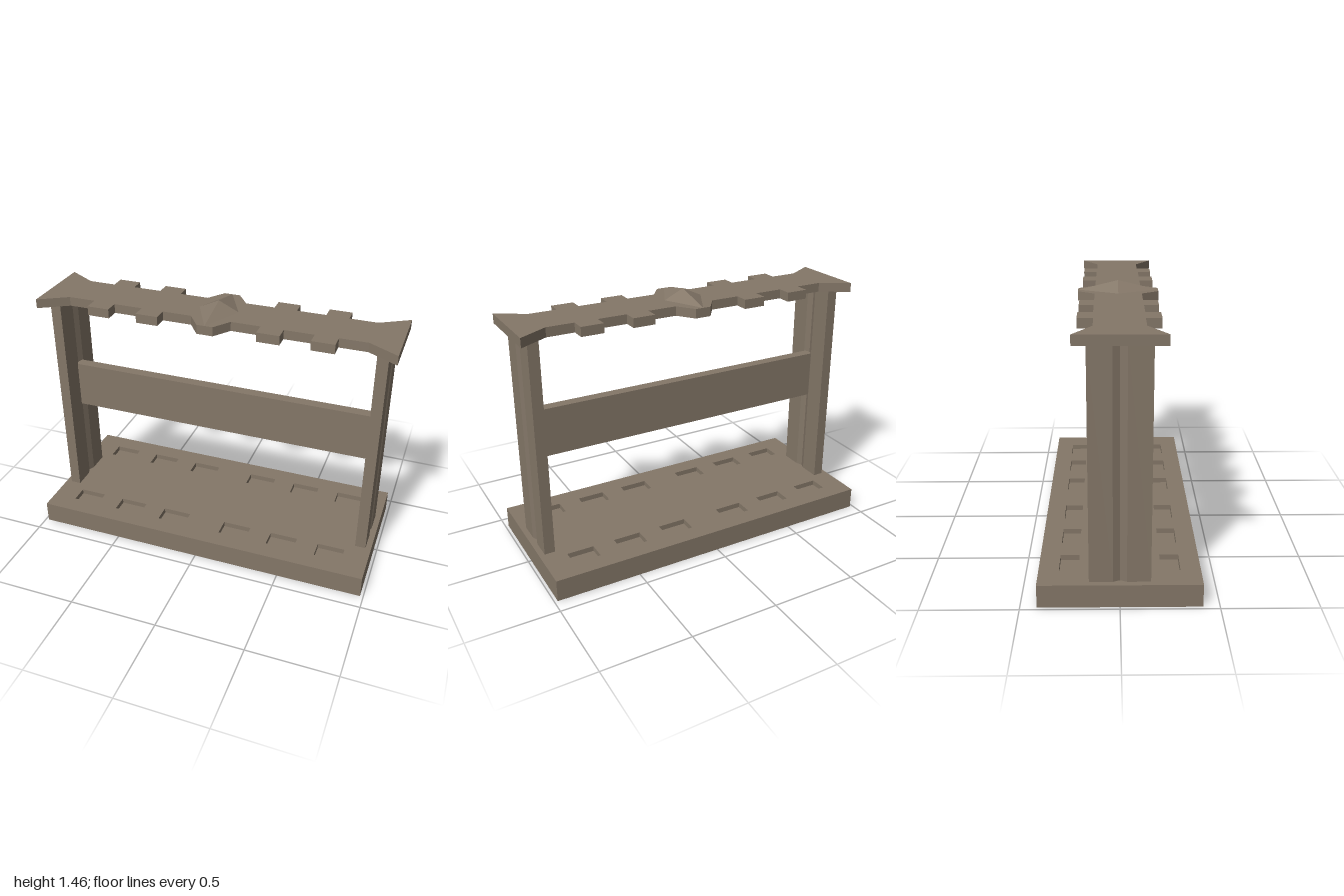
import * as THREE from 'three';

export function createModel() {
  const group = new THREE.Group();
  group.name = 'toolRack';
  const wood = new THREE.MeshStandardMaterial({ color: 0x847768 });
  wood.name = 'brown wood';

  const add = (geometry, name, x = 0, y = 0, z = 0) => {
    const mesh = new THREE.Mesh(geometry, wood);
    mesh.name = name;
    mesh.position.set(x, y, z);
    group.add(mesh);
    return mesh;
  };
  const path = (pts) => pts.map(([x, y]) => new THREE.Vector2(x, y));
  const rect = (x0, x1, z0, z1) => [[x0, z0], [x1, z0], [x1, z1], [x0, z1]];
  // Flat plan outline raised into a vertical prism
  const prism = (shape, height) =>
    new THREE.ExtrudeGeometry(shape, { depth: height, bevelEnabled: false }).rotateX(-Math.PI / 2);

  // Base: solid slab with a pierced top layer forming the slots
  const slotDepth = 0.03, baseTop = 0.125;
  add(new THREE.BoxGeometry(1.964, baseTop - slotDepth, 0.83), 'baseSlab', 0, (baseTop - slotDepth) / 2);
  const slots = new THREE.Shape(path(rect(-0.982, 0.982, -0.415, 0.415)));
  for (const [a, b] of [[0.11, 0.275], [0.4, 0.56], [0.685, 0.84]]) {
    for (const [x0, x1] of [[a, b], [-b, -a]]) {
      for (const [z0, z1] of [[0.21, 0.31], [-0.31, -0.21]]) {
        slots.holes.push(new THREE.Path(path(rect(x0, x1, z0, z1))));
      }
    }
  }
  add(prism(slots, slotDepth), 'baseSlots', 0, baseTop - slotDepth);

  // Posts with a shallow V groove down both broad faces
  const w = 0.03, d = 0.155, g = 0.035, v = 0.015;
  const post = new THREE.Shape(path([
    [-w, -d], [w, -d], [w, -g], [v, 0], [w, g], [w, d],
    [-w, d], [-w, g], [-v, 0], [-w, -g],
  ]));
  for (const s of [1, -1]) {
    add(prism(post, 1.35 - baseTop), s > 0 ? 'leftPost' : 'rightPost', s * 0.92, baseTop);
  }

  // Middle rail
  add(new THREE.BoxGeometry(1.8, 0.275, 0.06), 'middleRail', 0, 0.787);

  // Notched top plate: one quarter of the outline, mirrored twice
  const quarter = [
    [1, 0.22], [0.84, 0.125], [0.687, 0.125], [0.687, 0.205], [0.562, 0.205], [0.562, 0.128],
    [0.4, 0.128], [0.4, 0.205], [0.275, 0.205], [0.275, 0.128], [0.112, 0.128], [0.045, 0.222],
  ];
  const half = [...quarter, ...quarter.map(([x, z]) => [-x, z]).reverse()];
  const outline = [...half, ...half.map(([x, z]) => [x, -z]).reverse()];
  add(prism(new THREE.Shape(path(outline)), 0.052), 'topPlate', 0, 1.35);

  // Diamond-based pyramid ornament
  const peak = new THREE.ConeGeometry(1, 0.053, 4, 1, true).toNonIndexed();
  peak.scale(0.112, 1, 0.222);
  peak.computeVertexNormals();
  add(peak, 'peakOrnament', 0, 1.402 + 0.0265);

  return group;
}
